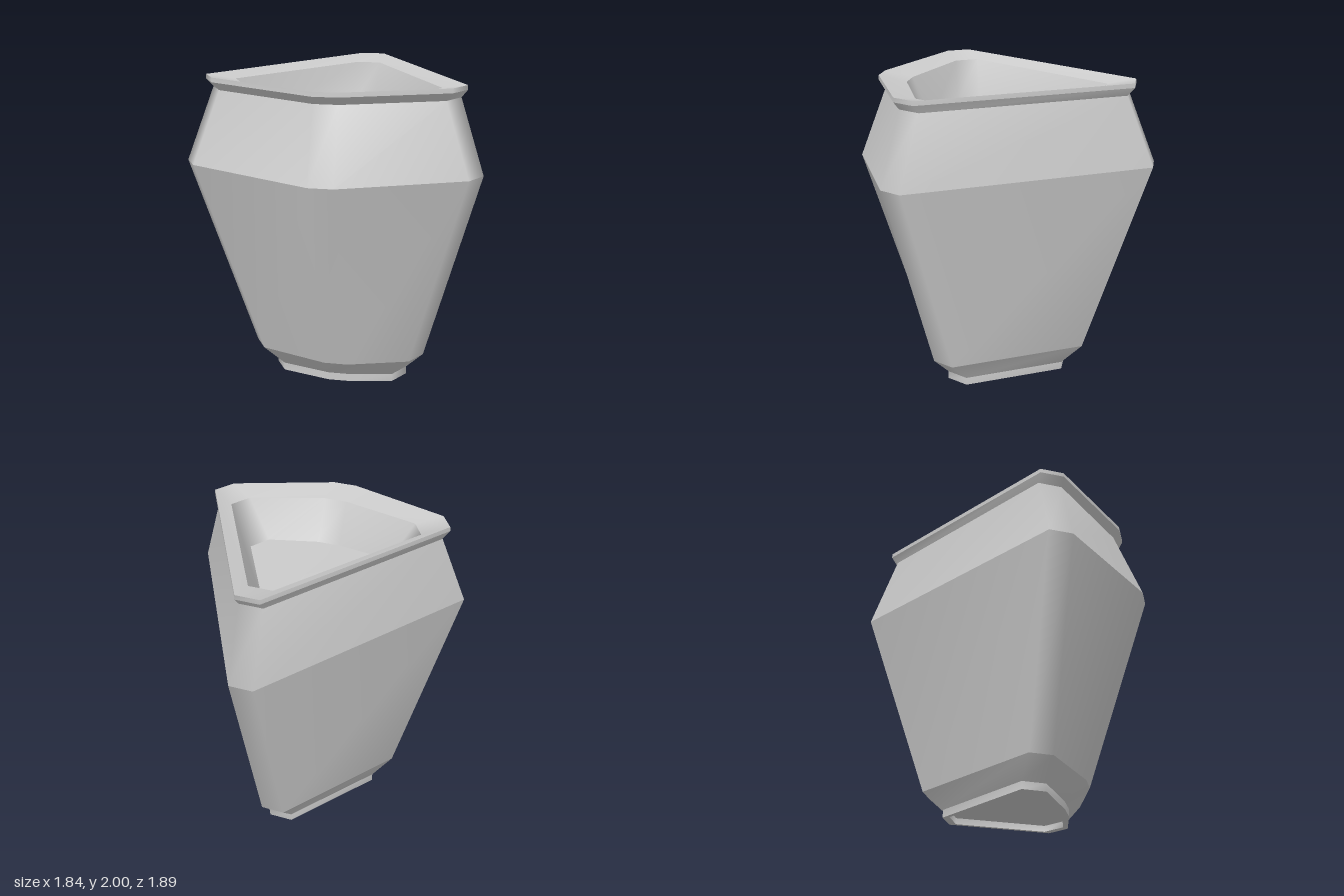
import * as THREE from 'three';
import { mergeGeometries } from 'three/addons/utils/BufferGeometryUtils.js';

// Eight-sided kite outline: four spokes of length r, each ending in a short chamfer.
// The -x spoke sits slightly higher than the rest.
function ring(r, y, dz = 0) {
  const sx = 0.866 * r, sz = 0.5 * r, lift = y + 0.017;
  return [
    [-0.05, y, -r], [0.105, y, -r],
    [sx + 0.1, y, sz + 0.005], [sx + 0.025, y, sz + 0.142],
    [0.105, y, r], [-0.05, y, r],
    [-sx - 0.023, lift, sz + 0.138], [-sx - 0.102, lift, sz + 0.004],
  ].map(([px, py, pz]) => [px, py, pz + dz]);
}

// All corners gathered in one point, used to close a ring.
const centre = (y, z = 0) => Array.from({ length: 8 }, () => [0.02, y, z]);

// One wall between two rings: smooth around, sharp where it meets the next wall.
function band(a, b) {
  const n = a.length, index = [];
  for (let i = 0; i < n; i++) {
    const j = (i + 1) % n;
    index.push(j, i, n + i, j, n + i, n + j);
  }
  const g = new THREE.BufferGeometry();
  g.setAttribute('position', new THREE.Float32BufferAttribute([...a, ...b].flat(), 3));
  g.setIndex(index);
  g.computeVertexNormals();
  return g;
}

export function createModel() {
  const group = new THREE.Group();
  group.name = 'planter';
  const material = new THREE.MeshStandardMaterial({ color: 0xcccccc });

  const add = (name, rings) => {
    const bands = rings.slice(1).map((r, i) => band(rings[i], r));
    const mesh = new THREE.Mesh(mergeGeometries(bands), material);
    mesh.name = name;
    group.add(mesh);
  };

  // Foot with a shallow recess underneath
  add('foot', [centre(0.045), ring(0.345, 0.04), ring(0.345, 0), ring(0.39, 0), ring(0.39, 0.05)]);

  // Flared body with a shoulder
  add('body', [ring(0.39, 0.05), ring(0.527, 0.18), ring(0.947, 1.452), ring(0.77, 1.905)]);

  // Lip sloping in towards the opening
  add('rim', [ring(0.77, 1.905), ring(0.815, 1.955), ring(0.813, 1.983), ring(0.63, 1.945)]);

  // Inner walls and floor of the opening
  const floor = ring(0.46, 1.68, 0.047);
  add('innerWall', [ring(0.63, 1.945), floor]);
  add('innerFloor', [floor, centre(1.685, 0.047)]);

  return group;
}
